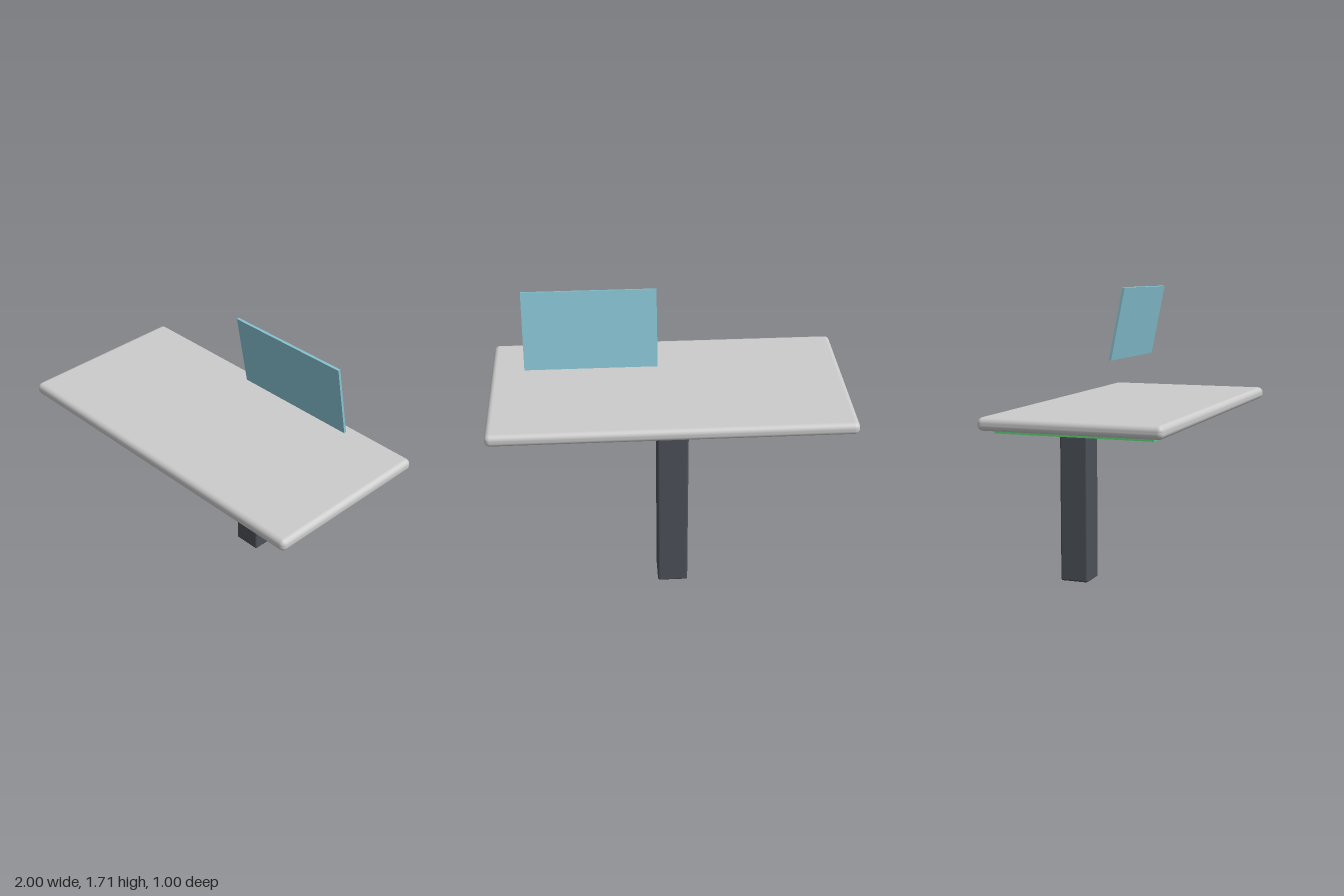
import * as THREE from 'three';
import { RoundedBoxGeometry } from 'three/addons/geometries/RoundedBoxGeometry.js';

function addPart(group, name, geometry, color, x, y, z) {
  const mesh = new THREE.Mesh(geometry, new THREE.MeshStandardMaterial({ color }));
  mesh.name = name;
  mesh.position.set(x, y, z);
  group.add(mesh);
  return mesh;
}

export function createModel() {
  const desk = new THREE.Group();
  desk.name = 'desk';

  // Slab with soft rounded edges
  addPart(desk, 'tabletop', new RoundedBoxGeometry(2, 0.07, 1, 4, 0.03), 0xcccccc, 0, 1.04, 0);

  // Thin inset panel under the slab
  addPart(desk, 'undersidePanel', new THREE.BoxGeometry(1.86, 0.018, 0.86), 0x5fd47e, 0, 0.997, 0);

  // Single column towards the back
  addPart(desk, 'column', new RoundedBoxGeometry(0.17, 1, 0.17, 3, 0.012), 0x4d5159, 0, 0.5, -0.355);

  // Floating screen, leaning forward at the top
  const screen = addPart(desk, 'screen', new THREE.BoxGeometry(0.715, 0.428, 0.014), 0x88c4d4, 0.425, 1.503, -0.142);
  screen.rotation.x = 0.2;

  return desk;
}
